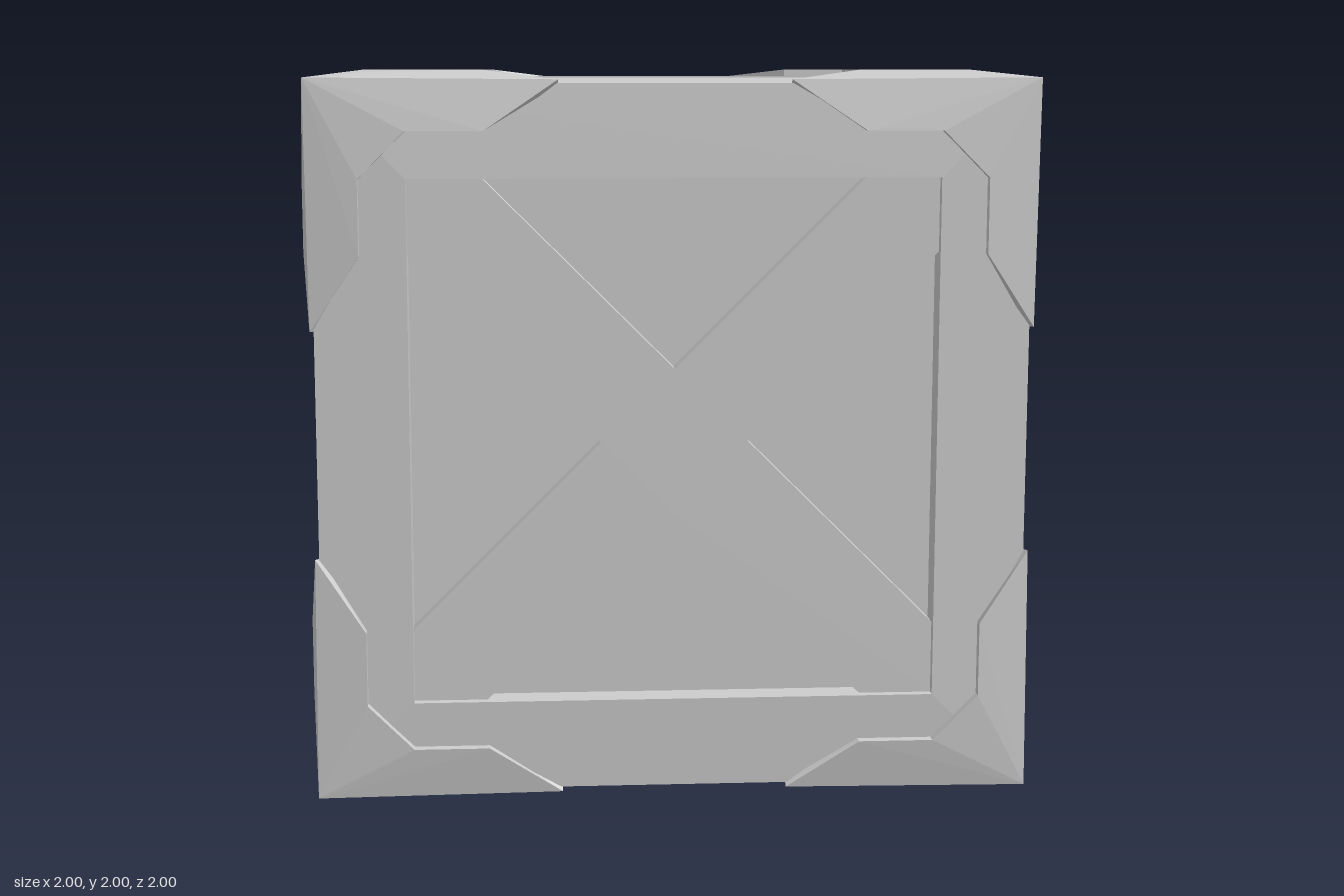
import * as THREE from 'three';

const material = new THREE.MeshStandardMaterial({ color: 0xcccccc, flatShading: true });

const OPEN = 0.715;   // half-width of the recessed opening
const FLOOR = 0.898;  // height of the recessed panel above the crate's centre
const BRACE = 0.953;  // height of the cross brace

function flat(geometry) {
  const g = geometry.index ? geometry.toNonIndexed() : geometry;
  g.computeVertexNormals();
  return g;
}

// Square frame, opening walls and panel: a four-sided lathe
function frameGeometry() {
  const profile = [[0.965, 0.965], [OPEN, 0.978], [OPEN, FLOOR], [0, FLOOR]]
    .map(([r, h]) => new THREE.Vector2(r * Math.SQRT2, h));
  return flat(new THREE.LatheGeometry(profile, 4, Math.PI / 4));
}

// X-shaped brace clipped to the opening
function braceGeometry() {
  const points = [];
  for (let k = 0; k < 4; k++) {
    for (const [x, y] of [[0.2, 0], [OPEN, 0.515], [OPEN, OPEN], [0.515, OPEN]]) {
      points.push(new THREE.Vector2(x, y).rotateAround(new THREE.Vector2(), k * Math.PI / 2));
    }
  }
  const g = new THREE.ExtrudeGeometry(new THREE.Shape(points), { depth: BRACE - FLOOR, bevelEnabled: false });
  return flat(g.rotateX(-Math.PI / 2).translate(0, FLOOR, 0));
}

// One face of a corner bracket: gently domed plate with a skirt down to the frame
function bracketGeometry() {
  const corner = [0.98, 0.98, 0.98];
  const rim = [
    [0.31, 0.975, 0.975], [0.51, 0.84, 1], [0.715, 0.84, 1],
    [0.84, 0.715, 1], [0.84, 0.51, 1], [0.975, 0.31, 0.975],
  ];
  const base = rim.map(([u, v]) => [Math.min(u, 0.96), Math.min(v, 0.96), 0.955]);
  const positions = [];
  const tri = (...pts) => pts.forEach(([u, v, h]) => positions.push(u, h, -v));
  for (let i = 0; i < rim.length - 1; i++) {
    tri(corner, rim[i], rim[i + 1]);
    tri(rim[i], base[i], base[i + 1]);
    tri(rim[i], base[i + 1], rim[i + 1]);
  }
  const g = new THREE.BufferGeometry();
  g.setAttribute('position', new THREE.Float32BufferAttribute(positions, 3));
  return flat(g);
}

export function createModel() {
  const crate = new THREE.Group();
  crate.name = 'crate';
  const frame = frameGeometry(), brace = braceGeometry(), bracket = bracketGeometry();

  const add = (parent, geometry, name) => {
    const mesh = new THREE.Mesh(geometry, material);
    mesh.name = name;
    parent.add(mesh);
    return mesh;
  };

  // The same side turned to all six directions
  const H = Math.PI / 2;
  const sides = {
    top: [0, 0, 0], bottom: [Math.PI, 0, 0], front: [H, 0, 0],
    back: [-H, 0, 0], left: [0, 0, -H], right: [0, 0, H],
  };
  for (const [name, rotation] of Object.entries(sides)) {
    const side = new THREE.Group();
    side.name = name + 'Side';
    side.rotation.set(...rotation);
    side.position.y = 1;
    add(side, frame, 'frameAndPanel');
    add(side, brace, 'crossBrace');
    for (let k = 0; k < 4; k++) add(side, bracket, 'cornerBracket').rotation.y = k * H;
    crate.add(side);
  }
  return crate;
}
